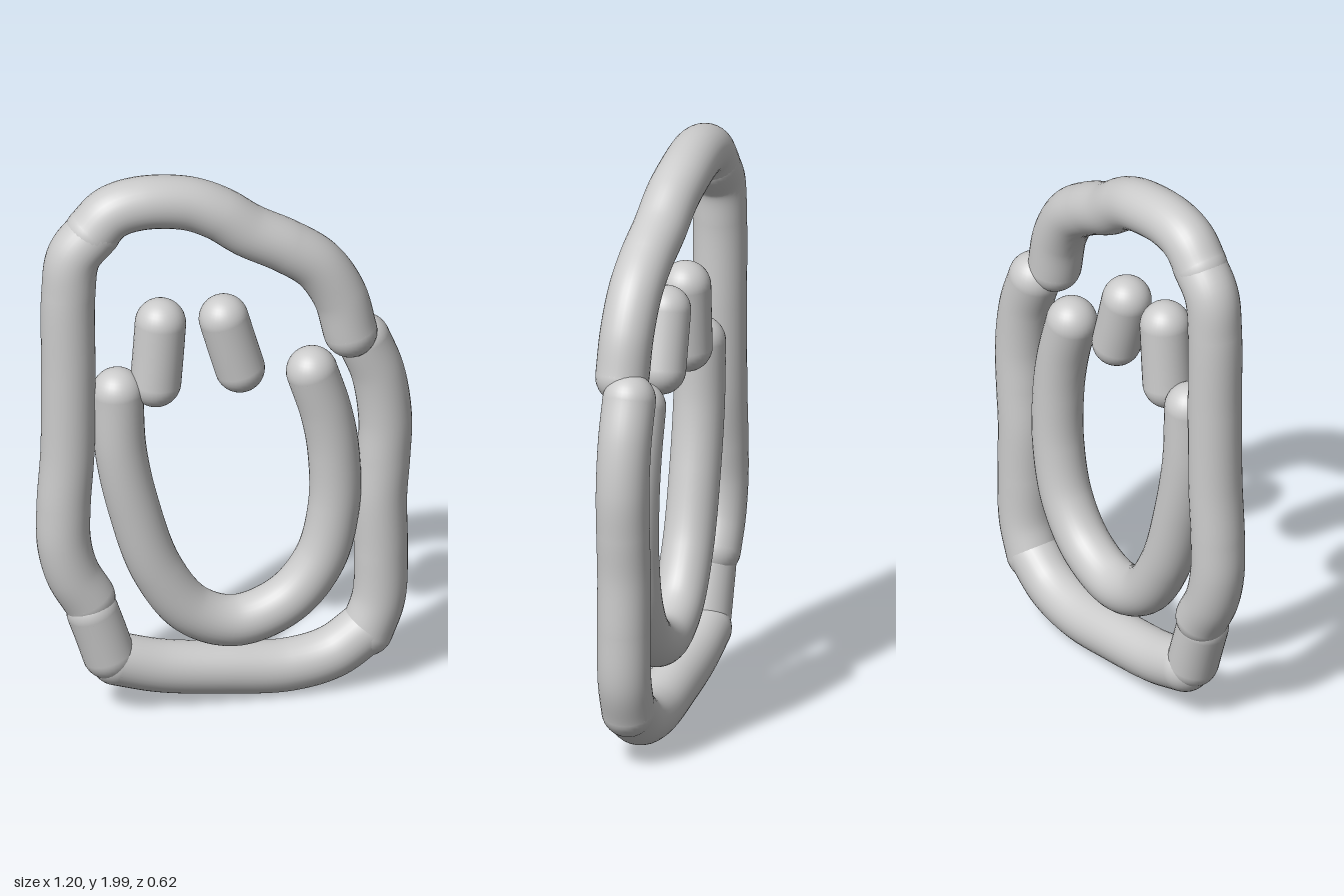
import * as THREE from 'three';

const material = new THREE.MeshStandardMaterial({ color: 0xcccccc });
const SLOPE = -0.43; // every stroke lies in one upright plane turned about y

// A rounded stroke: tube along [x, y] points with a ball at each end
function stroke(name, radius, offset, points) {
  const group = new THREE.Group();
  group.name = name;
  const path = new THREE.CatmullRomCurve3(
    points.map(([x, y, dz = 0]) => new THREE.Vector3(x, y, SLOPE * x + offset + dz)), false, 'centripetal');
  const tube = new THREE.Mesh(
    new THREE.TubeGeometry(path, Math.max(16, points.length * 10), radius, 32), material);
  tube.name = name + 'Tube';
  group.add(tube);
  for (const t of [0, 1]) {
    const end = new THREE.Mesh(new THREE.SphereGeometry(radius, 32, 20), material);
    end.name = name + 'End';
    end.position.copy(path.getPoint(t));
    group.add(end);
  }
  return group;
}

export function createModel() {
  const model = new THREE.Group();
  model.name = 'smilingFace';

  // Head outline, five overlapping strokes
  model.add(
    stroke('outlineRightSide', 0.091, 0, [
      [-0.43, 0.44], [-0.48, 0.54], [-0.507, 0.66], [-0.508, 0.8], [-0.496, 1.0], [-0.493, 1.3],
      [-0.493, 1.6], [-0.475, 1.74], [-0.41, 1.825]]),
    stroke('outlineTop', 0.091, 0, [
      [-0.42, 1.82], [-0.36, 1.885], [-0.27, 1.909], [-0.12, 1.89], [-0.02, 1.845, 0.01], [0.08, 1.77, 0.02],
      [0.2, 1.7, 0.03], [0.3, 1.62, 0.035], [0.37, 1.5, 0.04], [0.405, 1.36, 0.045]]),
    stroke('outlineLeftSide', 0.09, 0, [
      [0.44, 1.3], [0.485, 1.17], [0.508, 1.0], [0.503, 0.85], [0.493, 0.7], [0.495, 0.5],
      [0.488, 0.32], [0.45, 0.2]]),
    stroke('outlineBottom', 0.09, 0, [
      [-0.34, 0.195], [-0.2, 0.15], [0, 0.118], [0.2, 0.1], [0.34, 0.13], [0.45, 0.21]]),
    stroke('outlineCorner', 0.088, 0.01, [
      [-0.415, 0.39], [-0.39, 0.31], [-0.365, 0.225]]),
  );

  // Smile
  model.add(stroke('mouth', 0.087, 0.02, [
    [-0.335, 1.213], [-0.325, 1.0], [-0.285, 0.78], [-0.21, 0.53], [-0.1, 0.36], [0.04, 0.3],
    [0.2, 0.36], [0.305, 0.5], [0.35, 0.7], [0.348, 0.9], [0.325, 1.05], [0.28, 1.21]]));

  // Eyes
  model.add(
    stroke('rightEye', 0.086, 0.025, [[-0.198, 1.46], [-0.205, 1.35], [-0.213, 1.24]]),
    stroke('leftEye', 0.084, 0.025, [[0.002, 1.45], [0.028, 1.35], [0.053, 1.257]]),
  );
  return model;
}
